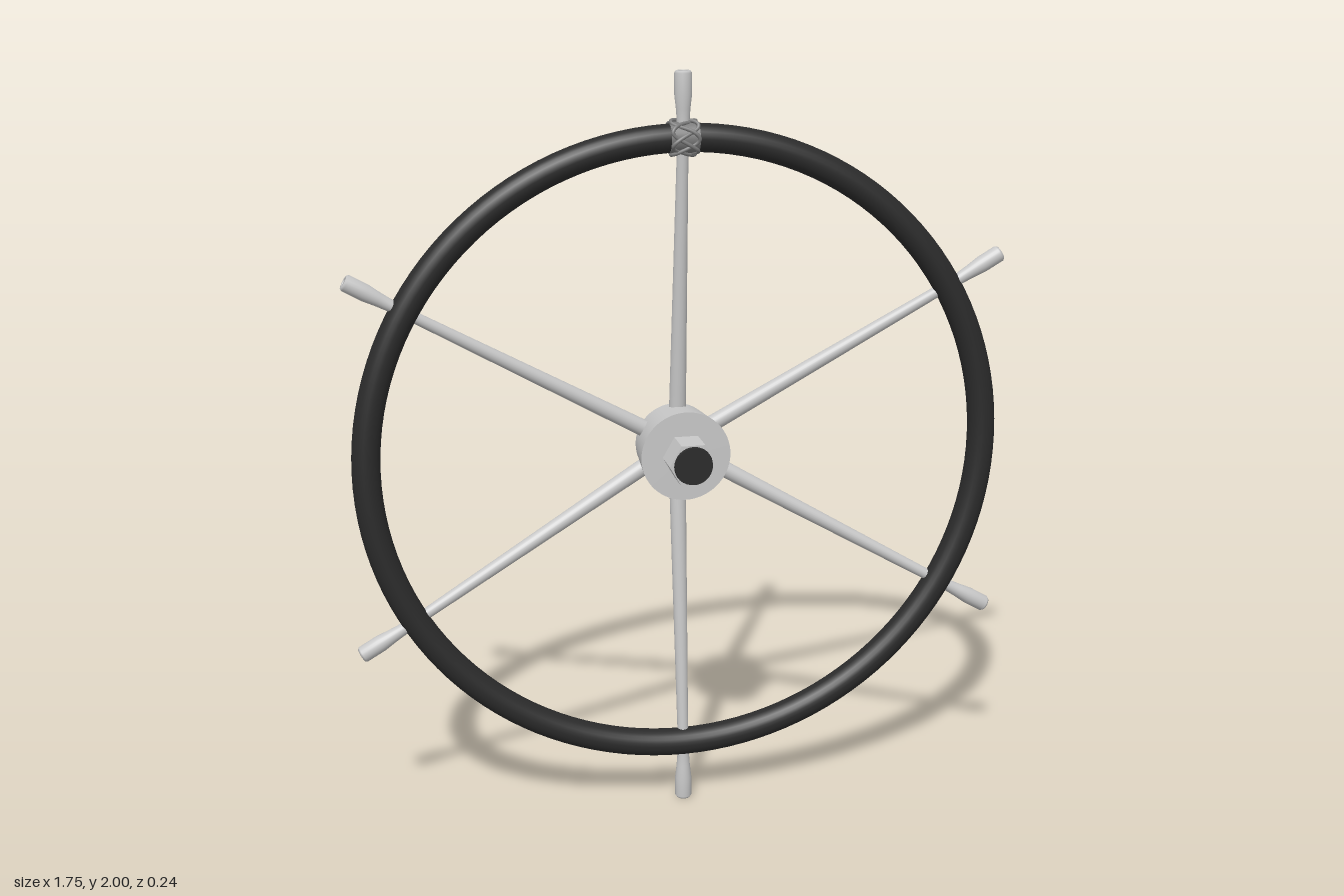
import * as THREE from 'three';

const RIM_R = 0.832, TUBE_R = 0.037, RIM_Z = -0.013, CENTRE_Y = 1;

function material(name, color) {
  const m = new THREE.MeshStandardMaterial({ color });
  m.name = name;
  return m;
}

function add(parent, name, geometry, mat) {
  const mesh = new THREE.Mesh(geometry, mat);
  mesh.name = name;
  parent.add(mesh);
  return mesh;
}

// Solid of revolution along z, from z0 (radius r0) to z1 (radius r1)
function axialCylinder(r0, r1, z0, z1, sides) {
  return new THREE.CylinderGeometry(r1, r0, z1 - z0, sides)
    .rotateX(Math.PI / 2).translate(0, 0, (z0 + z1) / 2);
}

// One strand of the woven knot, wrapped around the x axis
class KnotCurve extends THREE.Curve {
  getPoint(t, target = new THREE.Vector3()) {
    const leads = 3, bights = 7;
    const a = t * Math.PI * 2 * leads, b = t * Math.PI * 2 * bights;
    const r = TUBE_R + 0.005 + 0.0025 * Math.sin(2 * b);
    return target.set(0.034 * Math.sin(b), r * Math.cos(a), r * Math.sin(a));
  }
}

export function createModel() {
  const metal = material('brushed metal', 0xc8c8c8);
  const black = material('black rim', 0x2b2b2b);
  const rope = material('grey cord', 0x7c7c7c);

  const model = new THREE.Group();
  model.name = 'steeringWheel';
  const wheel = new THREE.Group();
  wheel.name = 'wheel';
  wheel.position.y = CENTRE_Y;
  model.add(wheel);

  // Rim
  add(wheel, 'rim', new THREE.TorusGeometry(RIM_R, TUBE_R, 24, 128), black).position.z = RIM_Z;

  // Hub, hexagonal nut and dark shaft cap
  add(wheel, 'hub', axialCylinder(0.107, 0.12, -0.12, 0.023, 64), metal);
  const nut = axialCylinder(0.063, 0.063, 0.02, 0.111, 6).rotateZ(Math.PI / 6);
  nut.computeBoundingBox();
  // Keep two corners of the nut on the horizontal axis
  if (nut.boundingBox.max.x < nut.boundingBox.max.y) nut.rotateZ(Math.PI / 6);
  const flatNut = nut.toNonIndexed();
  flatNut.computeVertexNormals();
  add(wheel, 'hubNut', flatNut, metal);
  add(wheel, 'shaftCap', axialCylinder(0.052, 0.05, 0.109, 0.118, 32), black);

  // Tapered spokes lean forward from the hub to the rim
  const from = new THREE.Vector3(0, 0.06, -0.087), to = new THREE.Vector3(0, RIM_R, -0.016);
  const dir = to.clone().sub(from);
  const spokeGeo = new THREE.CylinderGeometry(0.0145, 0.023, dir.length(), 24)
    .rotateX(Math.atan2(dir.z, dir.y))
    .translate(0, (from.y + to.y) / 2, (from.z + to.z) / 2);

  // Flared handles with a small hole in the end
  const profile = [
    [0, 0.81], [0.016, 0.81], [0.016, 0.87], [0.0185, 0.905], [0.0225, 0.94],
    [0.0225, 0.94], [0.0225, 0.994], [0.0225, 0.994], [0.0185, 1], [0.0185, 1],
    [0.009, 1], [0.009, 1], [0.009, 0.99], [0.009, 0.99], [0, 0.99],
  ].map(([r, y]) => new THREE.Vector2(r, y)).filter((p, i, a) => !i || !p.equals(a[i - 1]));
  const handleGeo = new THREE.LatheGeometry(profile, 24);

  for (let i = 0; i < 6; i++) {
    const arm = new THREE.Group();
    arm.name = 'spokeArm' + (i + 1);
    arm.rotation.z = i * Math.PI / 3;
    add(arm, 'spoke', spokeGeo, metal);
    add(arm, 'handle', handleGeo, metal).position.z = RIM_Z;
    wheel.add(arm);
  }

  // Woven cord knot marking the top of the rim
  const knot = new THREE.Group();
  knot.name = 'topKnot';
  knot.position.set(0, RIM_R, RIM_Z);
  add(knot, 'knotSleeve', new THREE.CylinderGeometry(0.0405, 0.0405, 0.074, 32).rotateZ(Math.PI / 2), rope);
  add(knot, 'knotCord', new THREE.TubeGeometry(new KnotCurve(), 400, 0.005, 8, true), rope);
  wheel.add(knot);

  return model;
}
